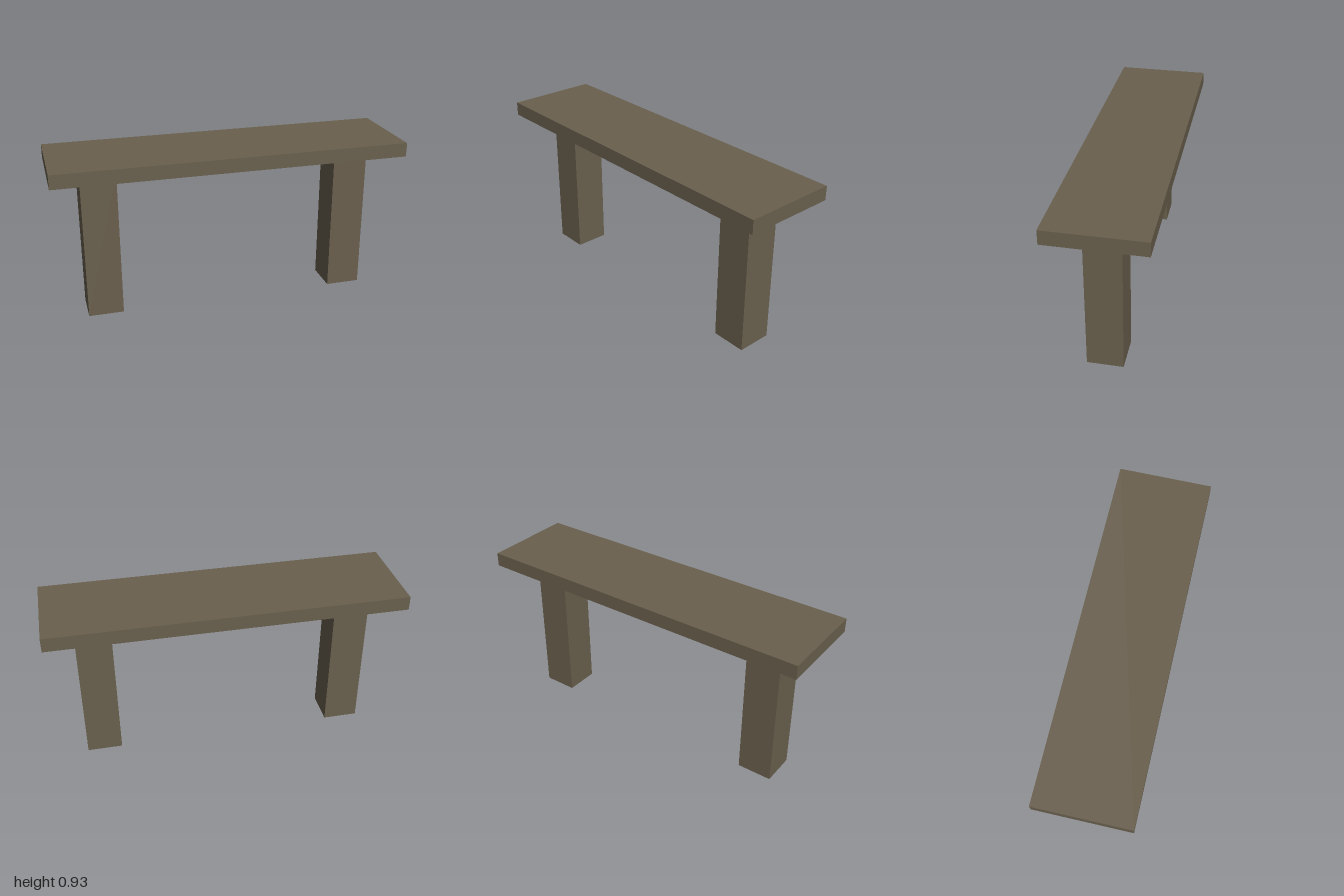
import * as THREE from 'three';

const wood = new THREE.MeshStandardMaterial({ color: 0x695f4d, side: THREE.DoubleSide });
wood.name = 'weathered wood';

const LEG_HEIGHT = 0.853, LEG_WIDTH = 0.2, LEG_X = 0.733;
const SEAT_THICKNESS = 0.08, SEAT_DEPTH = 0.533;

// Square sleeve: a box without its top and bottom faces
function openBox(w, h, d) {
  const geometry = new THREE.BoxGeometry(w, h, d);
  const index = Array.from(geometry.index.array);
  geometry.setIndex([...index.slice(0, 12), ...index.slice(24)]);
  geometry.clearGroups();
  return geometry;
}

export function createModel() {
  const bench = new THREE.Group();
  bench.name = 'bench';

  // Plank seat
  const seat = new THREE.Mesh(new THREE.BoxGeometry(2, SEAT_THICKNESS, SEAT_DEPTH), wood);
  seat.name = 'seat';
  seat.position.y = LEG_HEIGHT + SEAT_THICKNESS / 2;
  bench.add(seat);

  // Two hollow posts, open at the foot
  const legGeometry = openBox(LEG_WIDTH, LEG_HEIGHT, LEG_WIDTH);
  for (const side of [1, -1]) {
    const leg = new THREE.Mesh(legGeometry, wood);
    leg.name = side > 0 ? 'leftLeg' : 'rightLeg';
    leg.position.set(side * LEG_X, LEG_HEIGHT / 2, 0);
    bench.add(leg);
  }
  return bench;
}
